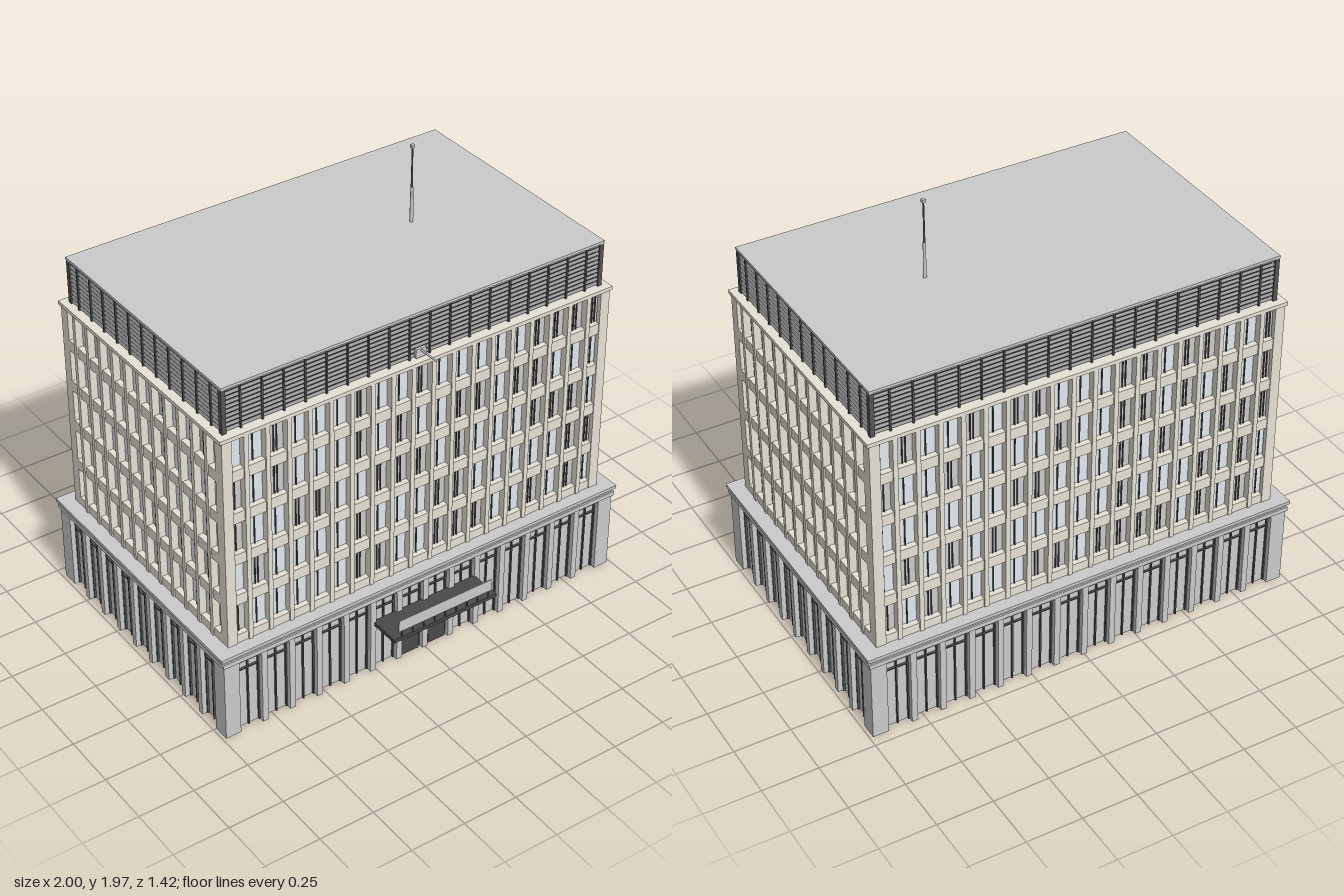
import * as THREE from 'three';
import { mergeGeometries } from 'three/addons/utils/BufferGeometryUtils.js';

const mat = (color) => new THREE.MeshStandardMaterial({ color });
const grey = mat(0xcccccc), beige = mat(0xe8e2d6), paleGlass = mat(0xe2e9f0);
const dark = mat(0x4a4a4a), frame = mat(0x555555), louvre = mat(0xa0a0a0);

// Box given by its limits on each axis
function span(x0, x1, y0, y1, z0, z1) {
  const g = new THREE.BoxGeometry(x1 - x0, y1 - y0, z1 - z0);
  return g.translate((x0 + x1) / 2, (y0 + y1) / 2, (z0 + z1) / 2);
}

function add(parent, name, geometries, material) {
  if (!geometries.length) return;
  const mesh = new THREE.Mesh(mergeGeometries(geometries), material);
  mesh.name = name;
  parent.add(mesh);
}

let seed = 7;
const random = () => (seed = (seed * 16807) % 2147483647) / 2147483647;

const BAY = 0.0973, FLOOR = 0.1975, FLOORS = 5, SILL = 0.455, WINDOW_H = 0.148;

// One side of the ground storey, facing +z; w = half width, d = distance to the wall plane
function baseSide(w, d, bays, pitch) {
  const side = new THREE.Group();
  side.name = 'groundStoreySide';
  const edge = (bays * pitch) / 2, half = 0.0135;
  const stone = [span(-w, w, 0.355, 0.402, d - 0.045, d)];
  const bars = [], glass = [span(-edge, edge, 0, 0.36, d - 0.04, d - 0.03)];
  for (let i = 0; i <= bays; i++) {
    const x = -edge + i * pitch;
    if (i > 0 && i < bays) stone.push(span(x - half, x + half, 0, 0.36, d - 0.045, d));
    if (i === bays) continue;
    const l = x + half, r = x + pitch - half, c = (l + r) / 2;
    for (const m of [l + 0.003, c, r - 0.003])
      bars.push(span(m - 0.003, m + 0.003, 0, 0.355, d - 0.032, d - 0.021));
    bars.push(span(l, r, 0.295, 0.301, d - 0.032, d - 0.021));
  }
  // Solid corner
  for (const s of [-1, 1]) {
    const a = s * w, b = s * (edge - half);
    stone.push(span(Math.min(a, b), Math.max(a, b), 0, 0.402, d - 0.045, d));
  }
  add(side, 'groundWall', stone, grey);
  add(side, 'groundGlass', glass, grey);
  add(side, 'groundMullions', bars, frame);
  // Moulding under the ledge
  add(side, 'moulding', [span(-w - 0.007, w + 0.007, 0.365, 0.385, d - 0.01, d + 0.007)], grey);
  return side;
}

// One side of the office floors, facing +z
function towerSide(w, d, bays) {
  const side = new THREE.Group();
  side.name = 'officeSide';
  const edge = (bays * BAY) / 2, half = 0.01;
  const wall = [], pale = [], blinds = [], bars = [];
  for (let f = 0; f <= FLOORS; f++) {
    const low = f ? SILL + (f - 1) * FLOOR + WINDOW_H : 0.41;
    const high = f < FLOORS ? SILL + f * FLOOR : 1.4;
    if (high > low) wall.push(span(-w, w, low, high, d - 0.045, d));
  }
  for (let i = 0; i <= bays; i++) {
    const x = -edge + i * BAY;
    wall.push(span(x - half, x + half, 0.41, 1.395, d - 0.045, d + (i % bays ? 0.006 : 0)));
    if (i === bays) continue;
    const l = x + half, r = x + BAY - half;
    for (let f = 0; f < FLOORS; f++) {
      const y = SILL + f * FLOOR, top = y + WINDOW_H;
      const closed = random() < 0.42;
      (closed ? blinds : pale).push(span(l, r, y, top, d - 0.035, d - 0.026));
      const posts = closed ? [0.42, 0.6] : [0.45];
      for (const t of posts) {
        const m = l + (r - l) * t;
        bars.push(span(m - 0.002, m + 0.002, y, top, d - 0.028, d - 0.02));
      }
    }
  }
  for (const s of [-1, 1])
    wall.push(span(s > 0 ? edge : -w, s > 0 ? w : -edge, 0.41, 1.4, d - 0.045, d));
  add(side, 'facadeGrid', wall, beige);
  add(side, 'clearWindows', pale, paleGlass);
  add(side, 'blindWindows', blinds, grey);
  add(side, 'windowMullions', bars, frame);
  return side;
}

// One side of the louvred plant storey, facing +z
function plantSide(w, d, bays) {
  const side = new THREE.Group();
  side.name = 'plantSide';
  const slats = [], posts = [];
  for (let i = 0; i < 10; i++) {
    const g = new THREE.BoxGeometry(2 * w - 0.01, 0.013, 0.006);
    slats.push(g.rotateX(-0.4).translate(0, 1.423 + i * 0.02, d - 0.009));
  }
  for (let i = 0; i <= bays; i++) {
    const x = THREE.MathUtils.clamp((i - bays / 2) * BAY, -w + 0.004, w - 0.004);
    posts.push(span(x - 0.004, x + 0.004, 1.405, 1.61, d - 0.02, d));
  }
  add(side, 'louvreSlats', slats, louvre);
  add(side, 'louvrePosts', posts, frame);
  return side;
}

export function createModel() {
  const model = new THREE.Group();
  model.name = 'officeBuilding';
  const building = new THREE.Group();
  building.name = 'building';
  building.position.z = -0.065;
  model.add(building);

  // Four sides of each storey type
  for (let k = 0; k < 4; k++) {
    const long = k % 2 === 0;
    const pick = (a, b) => (long ? [a, b] : [b, a]);
    const sides = [
      baseSide(...pick(0.985, 0.638), long ? 14 : 9, long ? 0.1325 : 0.128),
      towerSide(...pick(0.935, 0.59), long ? 19 : 12),
      plantSide(...pick(0.913, 0.565), long ? 19 : 12),
    ];
    for (const s of sides) {
      s.rotation.y = (k * Math.PI) / 2;
      building.add(s);
    }
  }

  // Slabs and cores
  const slab = (name, w, d, y0, y1, m) => add(building, name, [span(-w, w, y0, y1, -d, d)], m);
  slab('baseLedge', 1.0, 0.648, 0.4, 0.415, grey);
  slab('officeCore', 0.9, 0.555, 0.41, 1.4, beige);
  slab('cornice', 0.944, 0.598, 1.393, 1.41, beige);
  slab('plantCore', 0.89, 0.542, 1.405, 1.61, dark);
  slab('roof', 0.914, 0.567, 1.608, 1.62, grey);

  // Entrance doors, canopy and sign board
  const doors = [-1, 1].map((s) => span(s * 0.0675 - 0.043, s * 0.0675 + 0.043, 0, 0.14, 0.6, 0.626));
  add(building, 'entranceDoors', doors, dark);
  add(model, 'canopy', [span(-0.26, 0.26, 0.235, 0.252, 0.56, 0.71)], dark);
  add(model, 'signBoard', [span(-0.235, 0.235, 0.28, 0.335, 0.703, 0.707)], grey);
  const stands = [];
  for (let i = 0; i < 9; i++) {
    const x = -0.22 + i * 0.055;
    stands.push(span(x - 0.002, x + 0.002, 0.25, 0.285, 0.703, 0.707));
  }
  add(model, 'signStands', stands, frame);

  // Horizontal flagpole on a wall bracket
  const pole = new THREE.CylinderGeometry(0.004, 0.004, 0.105, 8).rotateX(Math.PI / 2);
  add(model, 'flagpole', [pole.translate(0, 1.447, 0.553)], grey);
  add(model, 'flagpoleBracket', [span(-0.025, 0.025, 1.415, 1.455, 0.495, 0.508)], grey);

  // Roof mast
  const mast = new THREE.Group();
  mast.name = 'mast';
  mast.position.set(0.37, 1.62, -0.065);
  add(mast, 'mastBase', [new THREE.CylinderGeometry(0.006, 0.008, 0.16, 8).translate(0, 0.08, 0)], grey);
  add(mast, 'mastRod', [new THREE.CylinderGeometry(0.003, 0.005, 0.19, 8).translate(0, 0.25, 0)], frame);
  add(mast, 'mastCap', [new THREE.BoxGeometry(0.015, 0.014, 0.015).translate(0, 0.347, 0)], grey);
  model.add(mast);
  return model;
}
